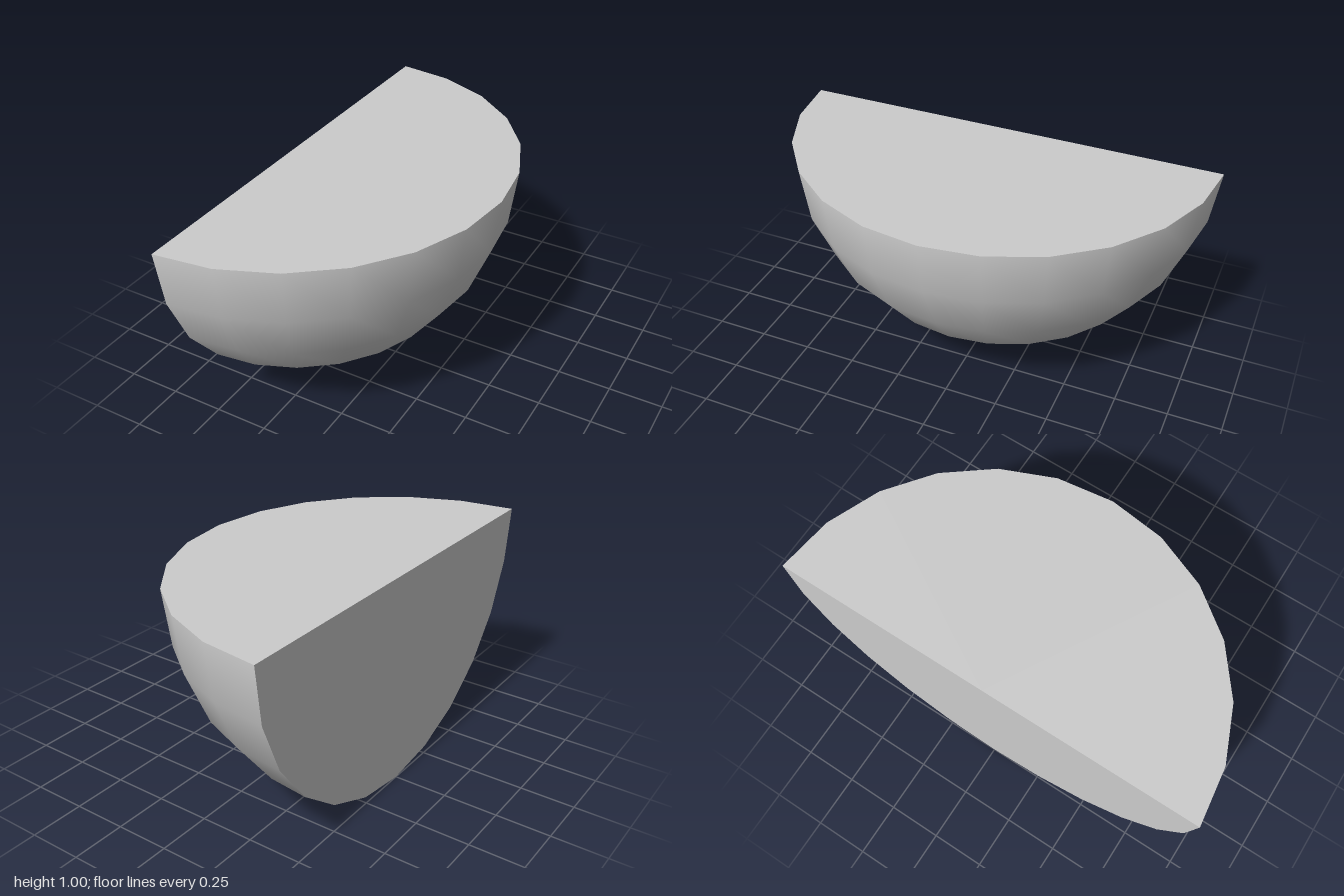
import * as THREE from 'three';

export function createModel() {
  const group = new THREE.Group();
  group.name = 'quarterSphere';
  const material = new THREE.MeshStandardMaterial({ color: 0xcccccc });
  const segments = 12;

  const addPart = (name, geometry) => {
    const mesh = new THREE.Mesh(geometry, material);
    mesh.name = name;
    mesh.position.set(-0.5, 1, 0);
    group.add(mesh);
  };

  // Smooth curved shell: lower half, +x side
  addPart('curvedShell', new THREE.SphereGeometry(
    1, segments, segments / 2, Math.PI / 2, Math.PI, Math.PI / 2, Math.PI / 2));

  // Flat half disc closing the top
  addPart('topFace', new THREE.CircleGeometry(1, segments, -Math.PI / 2, Math.PI)
    .rotateX(-Math.PI / 2));

  // Flat half disc closing the upright cut on the -x side
  addPart('sideFace', new THREE.CircleGeometry(1, segments, Math.PI, Math.PI)
    .rotateY(-Math.PI / 2));

  return group;
}
